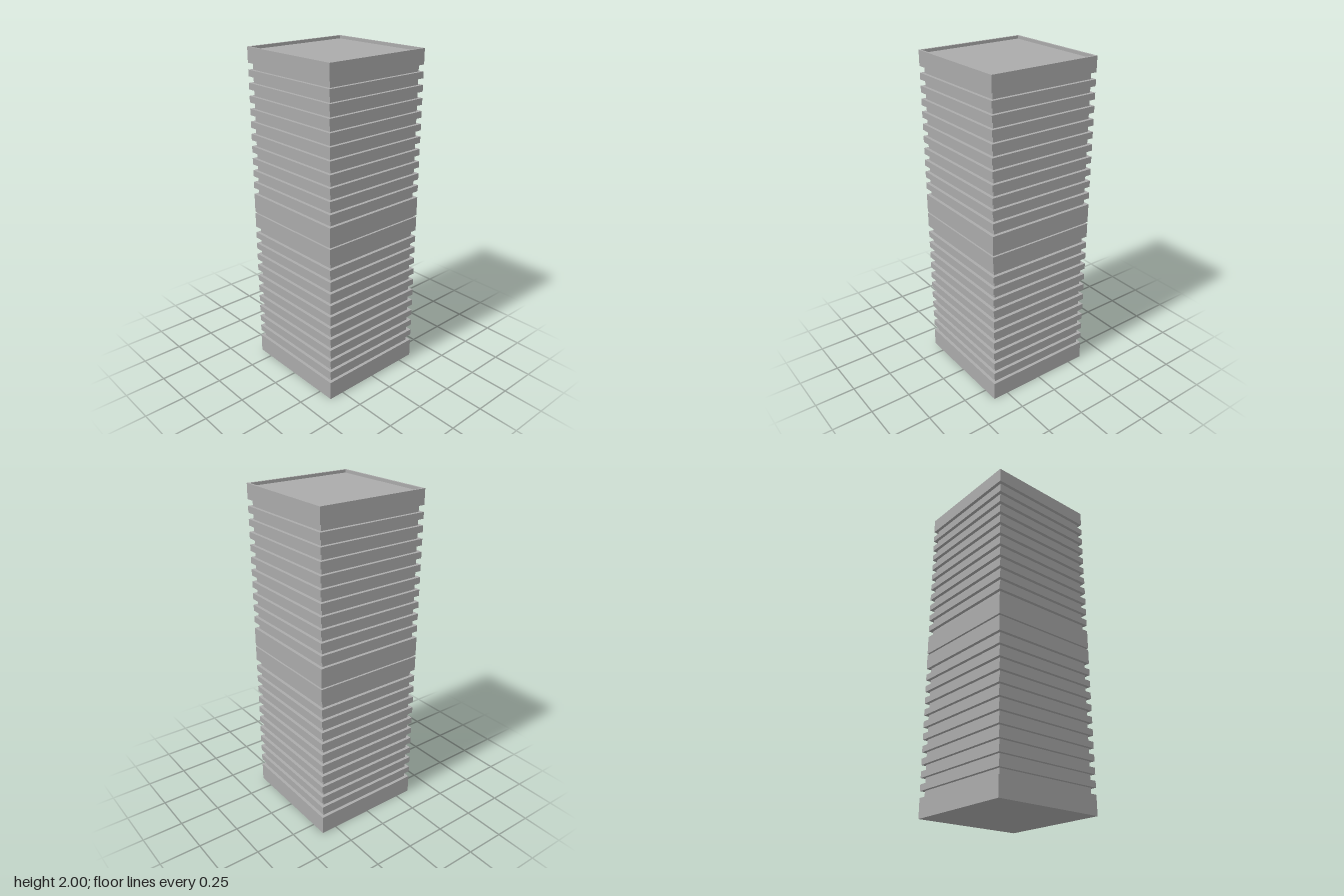
import * as THREE from 'three';

const OUTER = 0.696;    // width of base, ribs and cap
const CORE = 0.656;     // width of the core between the ribs
const INNER = 0.67;     // width of the tray opening and the joining plug
const HEIGHT = 0.9945;  // height of one section
const OFFSET = 1.0055;  // rise from one section to the next
const BASE = 0.116;
const CAP = 0.09;
const TRAY = 0.018;
const RIBS = 10, RIB_STEP = 0.0748, RIB_START = 0.174, RIB_HEIGHT = 0.038;

const grey = new THREE.MeshStandardMaterial({ color: 0xaaaaaa });
grey.name = 'grey';

// Square slab between two heights
function slab(name, width, y0, y1) {
  const mesh = new THREE.Mesh(new THREE.BoxGeometry(width, y1 - y0, width), grey);
  mesh.position.y = (y0 + y1) / 2;
  mesh.name = name;
  return mesh;
}

function square(path, w) {
  const h = w / 2;
  path.moveTo(-h, -h);
  path.lineTo(h, -h);
  path.lineTo(h, h);
  path.lineTo(-h, h);
  path.closePath();
  return path;
}

// Raised square frame around the tray
function trayRim(y) {
  const shape = square(new THREE.Shape(), OUTER);
  shape.holes.push(square(new THREE.Path(), INNER));
  const geometry = new THREE.ExtrudeGeometry(shape, { depth: TRAY, bevelEnabled: false });
  geometry.rotateX(-Math.PI / 2);
  const mesh = new THREE.Mesh(geometry, grey);
  mesh.position.y = y;
  mesh.name = 'trayRim';
  return mesh;
}

// One ribbed section: base, core, ribs, cap and tray
function section(name) {
  const group = new THREE.Group();
  group.name = name;
  const capBottom = HEIGHT - CAP, floor = HEIGHT - TRAY;
  group.add(slab('base', OUTER, 0, BASE));
  group.add(slab('core', CORE, BASE, capBottom));
  for (let i = 0; i < RIBS; i++) {
    const y = RIB_START + i * RIB_STEP;
    group.add(slab('rib', OUTER, y - RIB_HEIGHT / 2, y + RIB_HEIGHT / 2));
  }
  group.add(slab('cap', OUTER, capBottom, floor));
  group.add(trayRim(floor));
  return group;
}

export function createModel() {
  const model = new THREE.Group();
  model.name = 'ribbedTower';
  const lower = section('lowerSection');
  const upper = section('upperSection');
  upper.position.y = OFFSET;
  // Plug that seats the upper section in the lower tray
  model.add(lower, upper, slab('joiningPlug', INNER - 0.002, HEIGHT - TRAY, OFFSET));
  return model;
}
